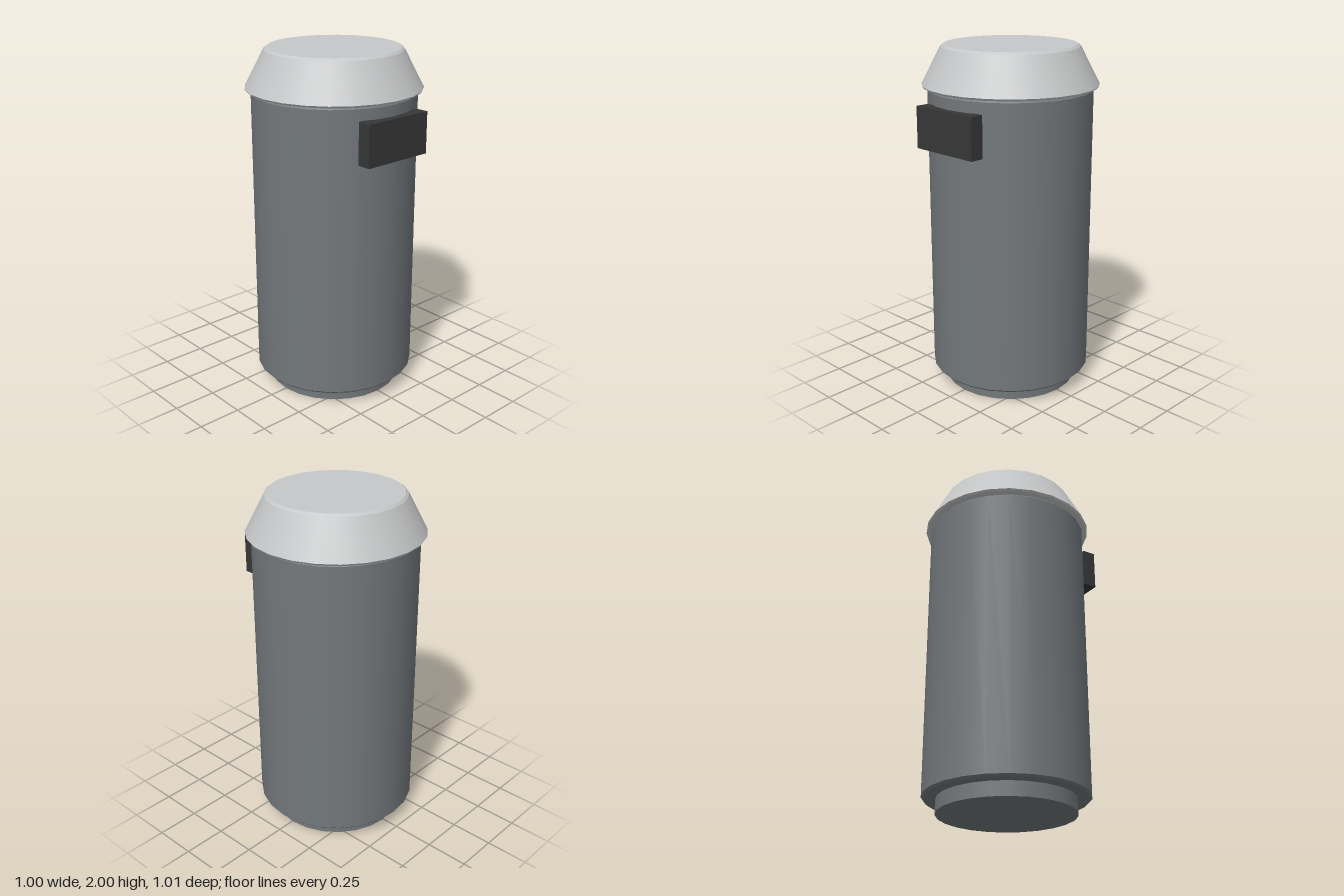
import * as THREE from 'three';
import { mergeGeometries } from 'three/addons/utils/BufferGeometryUtils.js';

const SIDES = 24;
const CENTER_Z = -0.005;

// Turned solid: smooth around the axis, creased between profile bands
function turned(name, profile, material) {
  const bands = [];
  for (let i = 0; i < profile.length - 1; i++) {
    const pair = [profile[i], profile[i + 1]].map(([r, y]) => new THREE.Vector2(r, y));
    bands.push(new THREE.LatheGeometry(pair, SIDES));
  }
  const mesh = new THREE.Mesh(mergeGeometries(bands), material);
  mesh.name = name;
  mesh.position.z = CENTER_Z;
  return mesh;
}

export function createModel() {
  const bodyGrey = new THREE.MeshStandardMaterial({ name: 'bodyGrey', color: 0x73787b });
  const lidGrey = new THREE.MeshStandardMaterial({ name: 'lidGrey', color: 0xc6c7c8 });
  const darkGrey = new THREE.MeshStandardMaterial({ name: 'darkGrey', color: 0x373737 });

  const group = new THREE.Group();
  group.name = 'litterBin';

  // Recessed foot
  group.add(turned('foot', [[0, 0], [0.39, 0], [0.39, 0.09]], bodyGrey));

  // Main drum with small bevelled rims
  group.add(turned('body', [
    [0, 0.082], [0.455, 0.082], [0.468, 0.095],
    [0.468, 1.752], [0.455, 1.766], [0, 1.766],
  ], bodyGrey));

  // Tapered lid with a thin lower lip
  group.add(turned('lid', [
    [0, 1.766], [0.49, 1.766], [0.5, 1.778],
    [0.39, 1.988], [0.375, 2], [0, 2],
  ], lidGrey));

  // Opening hood on the front
  const hood = new THREE.Mesh(new THREE.BoxGeometry(0.43, 0.235, 0.08), darkGrey);
  hood.name = 'frontOpening';
  hood.position.set(0, 1.5725, 0.465);
  group.add(hood);

  return group;
}
